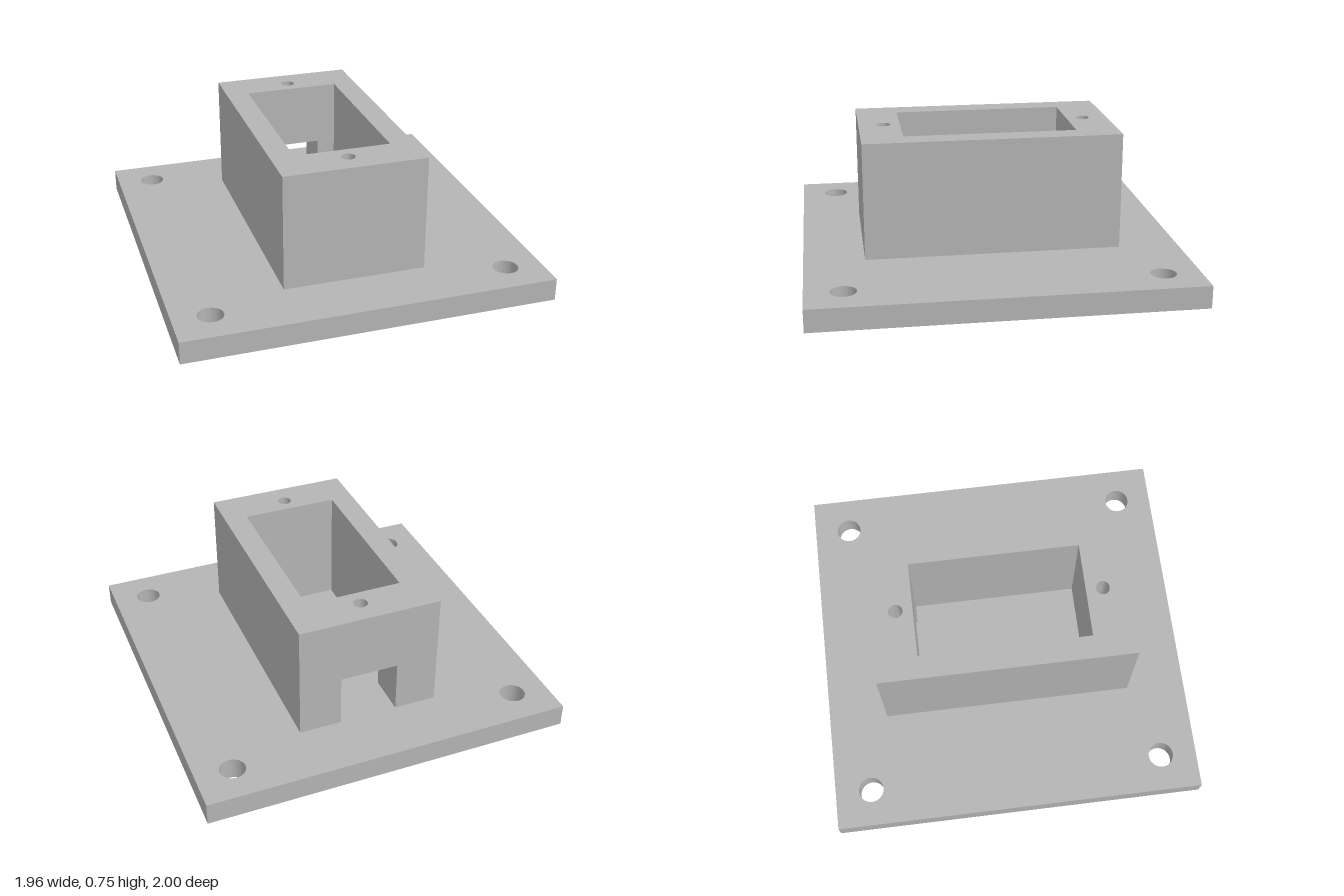
import * as THREE from 'three';
import { mergeGeometries, toCreasedNormals } from 'three/addons/utils/BufferGeometryUtils.js';

const BASE = { x: 0.98, z: 1, h: 0.12 };       // half sizes and thickness
const BOX = { x: 0.38, z: 0.68, top: 0.745 };  // housing outside
const CAV = { x: 0.257, z: 0.457 };            // housing pocket
const NOTCH = { x: 0.155, top: 0.4 };          // cable opening at the back
const SCREW = { z: 0.547, r: 0.037, depth: 0.25 };

const rect = (C, x0, y0, x1, y1) =>
  new C([[x0, y0], [x1, y0], [x1, y1], [x0, y1]].map(([x, y]) => new THREE.Vector2(x, y)));
const circle = (x, y, r) => new THREE.Path().absarc(x, y, r, 0, Math.PI * 2, true);

// Upright panel resting on the base, optionally with the cable opening cut from its foot
function wall(halfWidth, angle, x, z, { notched = false, top = BOX.top } = {}) {
  const pts = [[-halfWidth, BASE.h]];
  if (notched) pts.push([-NOTCH.x, BASE.h], [-NOTCH.x, NOTCH.top], [NOTCH.x, NOTCH.top], [NOTCH.x, BASE.h]);
  pts.push([halfWidth, BASE.h], [halfWidth, top], [-halfWidth, top]);
  const shape = new THREE.Shape(pts.map(([px, py]) => new THREE.Vector2(px, py)));
  return new THREE.ShapeGeometry(shape).rotateY(angle).translate(x, 0, z);
}

export function createModel() {
  const grey = new THREE.MeshStandardMaterial({ color: 0xb4b4b4 });
  grey.name = 'grey';
  const group = new THREE.Group();
  group.name = 'mountingBox';
  const add = (name, geometry) => {
    const mesh = new THREE.Mesh(geometry, grey);
    mesh.name = name;
    group.add(mesh);
  };

  // Base plate with four bolt holes
  const plate = rect(THREE.Shape, -BASE.x, -BASE.z, BASE.x, BASE.z);
  for (const sx of [-1, 1]) for (const sz of [-1, 1]) plate.holes.push(circle(sx * 0.785, sz * 0.805, 0.067));
  const plateGeometry = new THREE.ExtrudeGeometry(plate, { depth: BASE.h, bevelEnabled: false, curveSegments: 32 });
  add('basePlate', toCreasedNormals(plateGeometry.rotateX(-Math.PI / 2), 0.6));

  // Housing rim with the pocket and two screw holes
  const rim = rect(THREE.Shape, -BOX.x, -BOX.z, BOX.x, BOX.z);
  rim.holes.push(rect(THREE.Path, -CAV.x, -CAV.z, CAV.x, CAV.z));
  for (const s of [-1, 1]) rim.holes.push(circle(0, s * SCREW.z, SCREW.r));
  add('housingRim', new THREE.ShapeGeometry(rim, 24).rotateX(-Math.PI / 2).translate(0, BOX.top, 0));

  // Outer and pocket walls
  const q = Math.PI / 2;
  add('outerWalls', mergeGeometries([
    wall(BOX.x, 0, 0, BOX.z),
    wall(BOX.x, 2 * q, 0, -BOX.z, { notched: true }),
    wall(BOX.z, q, BOX.x, 0),
    wall(BOX.z, -q, -BOX.x, 0),
  ]));
  add('pocketWalls', mergeGeometries([
    wall(CAV.x, 2 * q, 0, CAV.z),
    wall(CAV.x, 0, 0, -CAV.z, { notched: true }),
    wall(CAV.z, -q, CAV.x, 0),
    wall(CAV.z, q, -CAV.x, 0),
  ]));

  // Sides and ceiling of the cable opening
  const depth = BOX.z - CAV.z, midZ = -(BOX.z + CAV.z) / 2;
  add('cableOpening', mergeGeometries([
    wall(depth / 2, q, -NOTCH.x, midZ, { top: NOTCH.top }),
    wall(depth / 2, -q, NOTCH.x, midZ, { top: NOTCH.top }),
    new THREE.PlaneGeometry(NOTCH.x * 2, depth).rotateX(q).translate(0, NOTCH.top, midZ),
  ]));

  // Blind screw holes, facing inward
  const profile = [[SCREW.r, 0], [SCREW.r, -SCREW.depth], [0, -SCREW.depth]].map(([x, y]) => new THREE.Vector2(x, y));
  for (const s of [-1, 1]) {
    const hole = toCreasedNormals(new THREE.LatheGeometry(profile, 48), 0.6);
    add(s > 0 ? 'frontScrewHole' : 'backScrewHole', hole.translate(0, BOX.top, s * SCREW.z));
  }
  return group;
}
